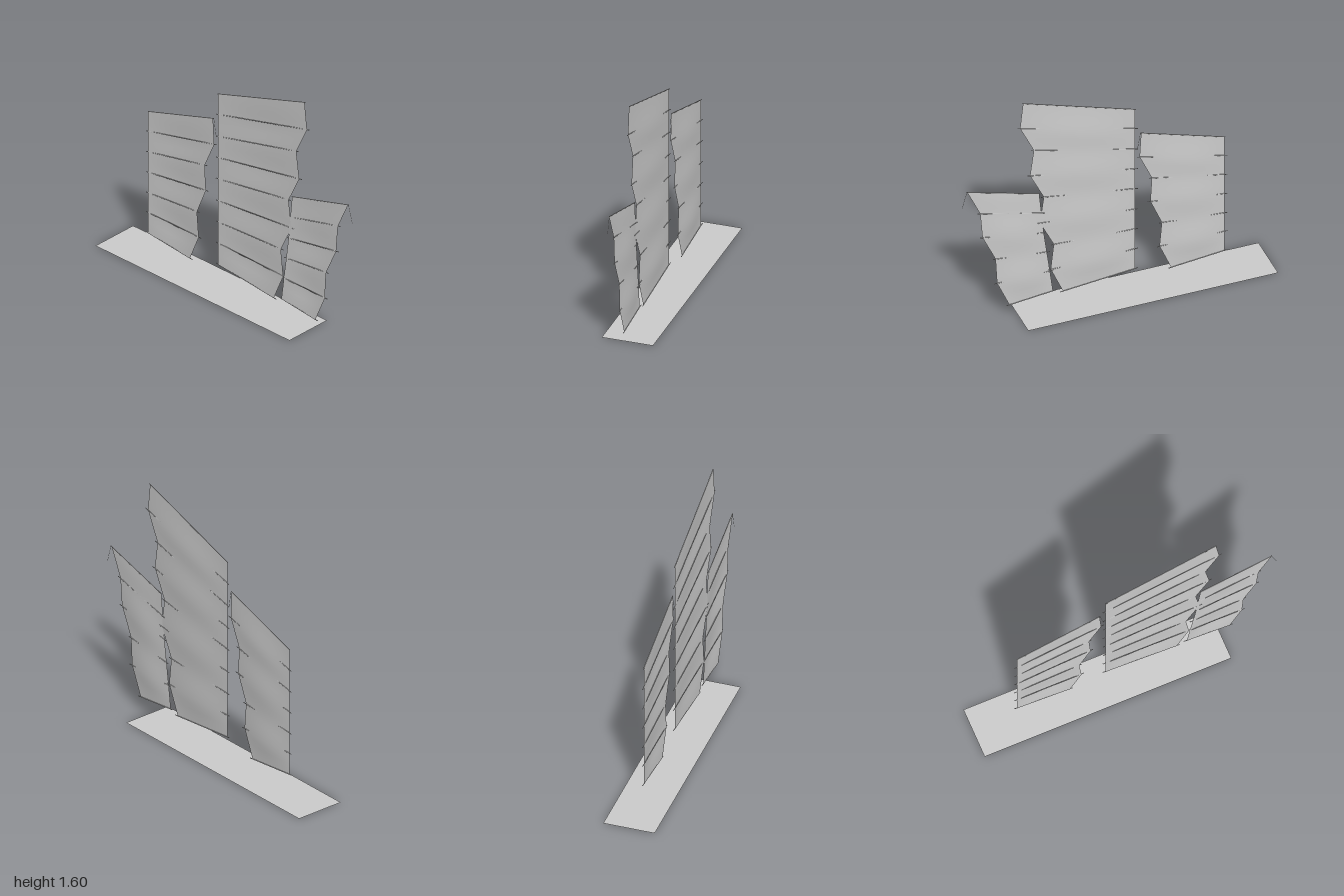
import * as THREE from 'three';

const material = new THREE.MeshStandardMaterial({ color: 0xcccccc, side: THREE.DoubleSide });

// Each row is one batten line, bottom to top: front edge x, y, rear edge x, y
const sails = {
  foreSail: [
    [-0.715, 0.135, -0.365, 0.10], [-0.715, 0.28, -0.29, 0.28], [-0.715, 0.42, -0.305, 0.455],
    [-0.715, 0.565, -0.23, 0.635], [-0.715, 0.71, -0.24, 0.81], [-0.715, 0.855, -0.16, 0.99],
    [-0.715, 0.995, -0.17, 1.17],
  ],
  mainSail: [
    [-0.13, 0.155, 0.34, 0.11], [-0.13, 0.305, 0.42, 0.295], [-0.13, 0.455, 0.40, 0.48],
    [-0.13, 0.605, 0.49, 0.665], [-0.13, 0.76, 0.465, 0.855], [-0.13, 0.91, 0.555, 1.04],
    [-0.13, 1.06, 0.53, 1.225], [-0.13, 1.215, 0.62, 1.415], [-0.13, 1.36, 0.60, 1.60],
  ],
  aftSail: [
    [0.405, 0.13, 0.69, 0.10], [0.425, 0.285, 0.77, 0.285], [0.445, 0.435, 0.78, 0.47],
    [0.465, 0.585, 0.865, 0.655], [0.48, 0.74, 0.88, 0.84], [0.495, 0.89, 0.965, 1.025],
  ],
};

// Thin round rod between two points
function rod(name, a, b, radius) {
  const d = b.clone().sub(a);
  const mesh = new THREE.Mesh(new THREE.CylinderGeometry(radius, radius, d.length(), 6), material);
  mesh.name = name;
  mesh.position.copy(a).add(b).multiplyScalar(0.5);
  mesh.quaternion.setFromUnitVectors(new THREE.Vector3(0, 1, 0), d.normalize());
  return mesh;
}

// Cloth stretched over the rows, bellying gently towards the back
function sailCloth(rows) {
  const across = 16, perPanel = 4, up = (rows.length - 1) * perPanel;
  const geometry = new THREE.PlaneGeometry(1, 1, across, up);
  const p = geometry.attributes.position;
  for (let i = 0; i < p.count; i++) {
    const u = p.getX(i) + 0.5, v = (p.getY(i) + 0.5) * (rows.length - 1);
    const k = Math.min(Math.floor(v + 1e-6), rows.length - 2);
    const [lx, ly, rx, ry] = rows[k].map((n, j) => THREE.MathUtils.lerp(n, rows[k + 1][j], v - k));
    const ends = Math.min(1, 0.3 + v, 0.15 + (rows.length - 1 - v) * 0.6);
    const depth = (0.010 - 0.003 * Math.cos(Math.PI * v)) * ends;
    p.setXYZ(i, lx + (rx - lx) * u, ly + (ry - ly) * u, -depth * Math.sin(Math.PI * u));
  }
  geometry.computeVertexNormals();
  const mesh = new THREE.Mesh(geometry, material);
  mesh.name = 'sailCloth';
  return mesh;
}

export function createModel() {
  const model = new THREE.Group();
  model.name = 'junkRig';

  // Flat deck
  const deck = new THREE.Mesh(new THREE.PlaneGeometry(1.63, 0.33), material);
  deck.name = 'deck';
  deck.rotation.x = -Math.PI / 2;
  deck.position.x = -0.185;
  model.add(deck);

  // Battened sails
  for (const [name, rows] of Object.entries(sails)) {
    const sail = new THREE.Group();
    sail.name = name;
    sail.add(sailCloth(rows));
    rows.forEach(([lx, ly, rx, ry], i) => {
      const a = new THREE.Vector3(lx, ly, -0.003), b = new THREE.Vector3(rx, ry, -0.003);
      const overhang = b.clone().sub(a).setLength(i === rows.length - 1 ? 0.004 : 0.018);
      sail.add(rod('batten', a.sub(overhang), b.add(overhang), 0.0025));
    });
    model.add(sail);
  }

  // Short lines hanging from the peaks
  for (const [x, y, x2, y2] of [[-0.165, 1.17, -0.145, 1.05], [0.967, 1.025, 0.999, 0.91]]) {
    model.add(rod('peakLine', new THREE.Vector3(x, y, -0.002), new THREE.Vector3(x2, y2, -0.002), 0.001));
  }
  return model;
}
